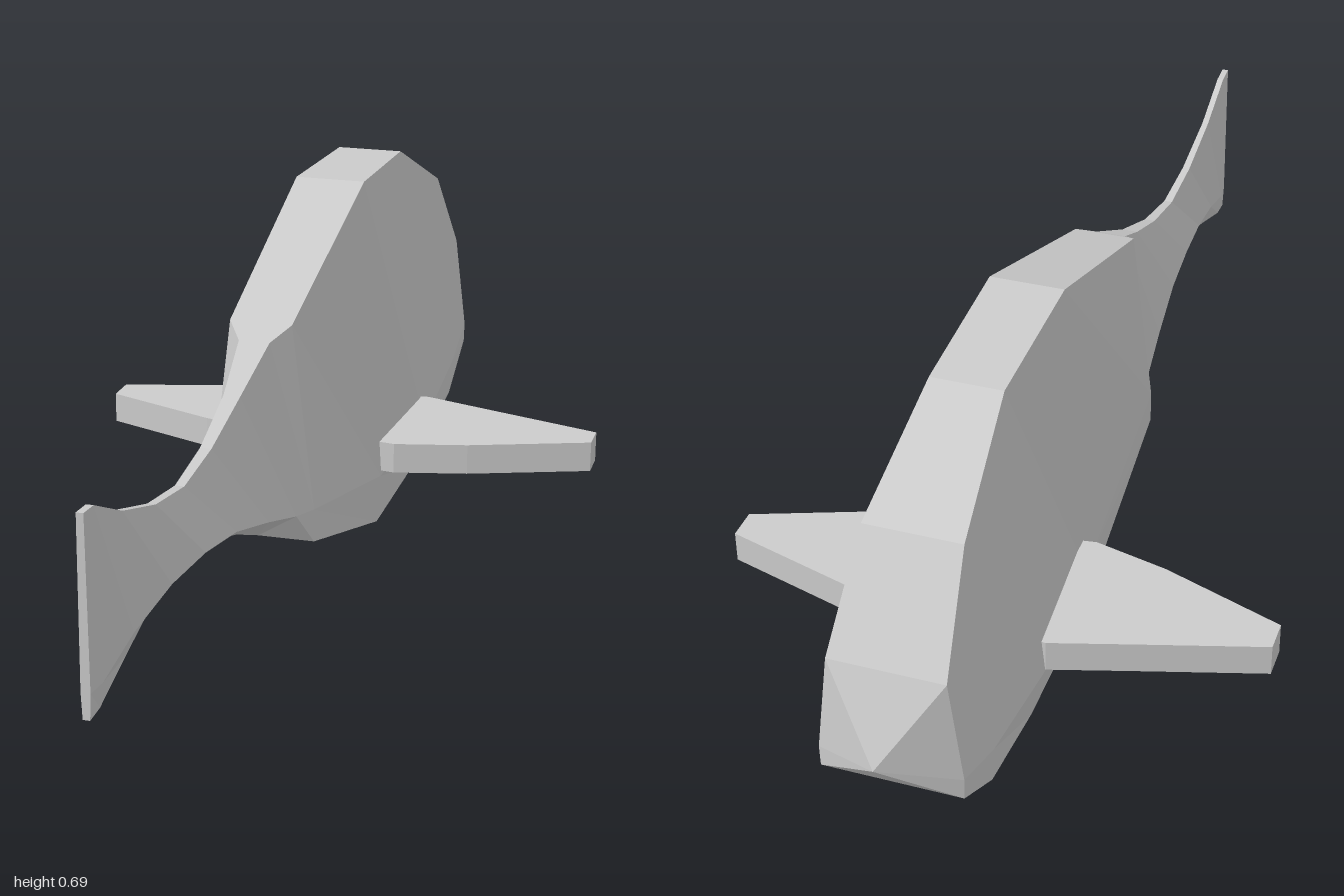
import * as THREE from 'three';

const material = new THREE.MeshStandardMaterial({ color: 0xcccccc, flatShading: true });

// Rings from tail to nose:
// z, centre x, bottom y, bottom half-width, cheek y, cheek half-width, top y, top half-width
const tailRings = [
  [1.0, -0.022, 0.165, 0.006, 0.21, 0.008, 0.5, 0.006],
  [0.96, -0.022, 0.167, 0.006, 0.21, 0.012, 0.497, 0.006],
  [0.85, -0.02, 0.205, 0.006, 0.245, 0.02, 0.445, 0.006],
  [0.72, -0.016, 0.25, 0.006, 0.272, 0.032, 0.405, 0.007],
  [0.6, -0.012, 0.257, 0.006, 0.278, 0.043, 0.39, 0.008],
  [0.48, -0.008, 0.245, 0.006, 0.268, 0.053, 0.412, 0.01],
  [0.35, -0.005, 0.205, 0.006, 0.235, 0.065, 0.46, 0.015],
  [0.23, -0.003, 0.155, 0.006, 0.2, 0.077, 0.52, 0.028],
];
const bodyRings = [
  [0.19, -0.003, 0.138, 0.098, 0.2, 0.098, 0.543, 0.057],
  [-0.25, -0.003, 0.002, 0.1, 0.1, 0.107, 0.695, 0.067],
  [-0.55, -0.005, 0.01, 0.102, 0.11, 0.125, 0.685, 0.064],
  [-0.8, -0.006, 0.09, 0.12, 0.16, 0.125, 0.57, 0.085],
  [-0.93, -0.006, 0.17, 0.122, 0.21, 0.123, 0.4, 0.1],
];
const nose = [-1, -0.006, 0.255, 0, 0.255, 0, 0.255, 0];

// Six-sided loft through the rings
function loft(rings) {
  const sides = 6, pos = [], index = [];
  for (const [z, cx, yb, wb, ym, wm, yt, wt] of rings) {
    pos.push(cx + wb, yb, z, cx + wm, ym, z, cx + wt, yt, z);
    pos.push(cx - wt, yt, z, cx - wm, ym, z, cx - wb, yb, z);
  }
  for (let i = 0; i < rings.length - 1; i++) {
    for (let j = 0; j < sides; j++) {
      const k = (j + 1) % sides;
      const a = i * sides + j, b = i * sides + k;
      const c = a + sides, d = b + sides;
      index.push(a, c, b);
      if (rings[i + 1] !== nose) index.push(b, c, d);
    }
  }
  // Flat end of the first ring
  for (let j = 1; j < sides - 1; j++) index.push(0, j, j + 1);
  const geometry = new THREE.BufferGeometry();
  geometry.setAttribute('position', new THREE.Float32BufferAttribute(pos, 3));
  geometry.setIndex(index);
  const flat = geometry.toNonIndexed();
  flat.computeVertexNormals();
  return flat;
}

// Tapered slab fin; side is +1 for left, -1 for right
function fin(side) {
  const outline = [
    [0.06, -0.53], [0.13, -0.54], [0.28, -0.495], [0.5, -0.43],
    [0.5, -0.37], [0.27, -0.285], [0.13, -0.25], [0.06, -0.26],
  ].map(([x, z]) => new THREE.Vector2(x * side, z));
  const geometry = new THREE.ExtrudeGeometry(new THREE.Shape(outline), { depth: 0.06, bevelEnabled: false });
  geometry.rotateX(Math.PI / 2).translate(0, 0.17, 0);
  return geometry;
}

export function createModel() {
  const model = new THREE.Group();
  model.name = 'whale';
  const add = (name, geometry) => {
    const mesh = new THREE.Mesh(geometry, material);
    mesh.name = name;
    model.add(mesh);
  };
  // Body and tail run as one skin
  add('bodyAndTail', loft([...tailRings, ...bodyRings, nose]));
  add('leftFin', fin(1));
  add('rightFin', fin(-1));
  return model;
}
